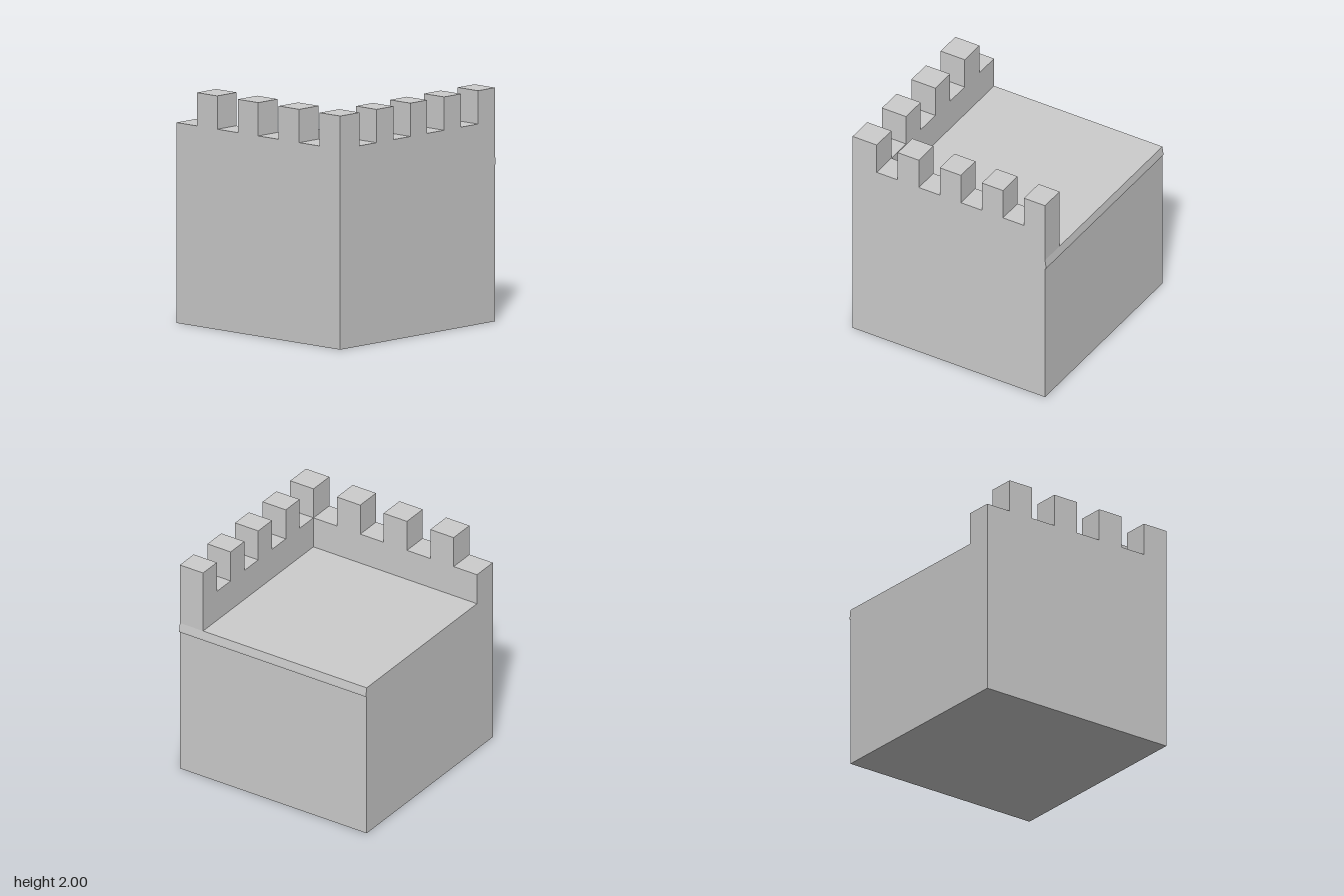
import * as THREE from 'three';

const LEFT = 0.95, FRONT = 0.955, BACK = -0.945;
const FLOOR = 1.43, SILL = 1.715, TOP = 2;
const INNER_X = 0.714, INNER_Z = 0.717;

// Extrude a (u, y) outline: along z, or turned so that u runs along z and depth along x
function prism(name, points, from, to, alongX, material) {
  const shape = new THREE.Shape(points.map(([u, y]) => new THREE.Vector2(u, y)));
  const geometry = new THREE.ExtrudeGeometry(shape, { depth: to - from, bevelEnabled: false });
  if (alongX) geometry.rotateY(-Math.PI / 2).translate(to, 0, 0);
  else geometry.translate(0, 0, from);
  const mesh = new THREE.Mesh(geometry, material);
  mesh.name = name;
  return mesh;
}

// Crenellated outline over equal steps; every second step is a merlon
function battlement(start, end, steps, merlonFirst) {
  const points = [[end, FLOOR], [start, FLOOR]];
  for (let i = 0; i < steps; i++) {
    const y = (i % 2 === 0) === merlonFirst ? TOP : SILL;
    const at = (k) => start + ((end - start) * k) / steps;
    points.push([at(i), y], [at(i + 1), y]);
  }
  return points;
}

export function createModel() {
  const group = new THREE.Group();
  group.name = 'castleCorner';
  const stone = new THREE.MeshStandardMaterial({ color: 0xcccccc, flatShading: true });

  // Solid block up to the walkway, with a slim sloped lip along the back
  const block = [
    [BACK, 0], [FRONT, 0], [FRONT, FLOOR], [BACK, FLOOR],
    [-0.955, 1.36], [-0.955, 1.345], [BACK, 1.34],
  ];
  group.add(prism('towerBlock', block, -LEFT, LEFT, true, stone));

  // Parapets on the front and left edges, meeting in a corner merlon
  group.add(prism('frontParapet', battlement(-LEFT, LEFT, 8, false), INNER_Z, FRONT, false, stone));
  group.add(prism('leftParapet', battlement(BACK, INNER_Z, 8, true), INNER_X, LEFT, true, stone));

  return group;
}
